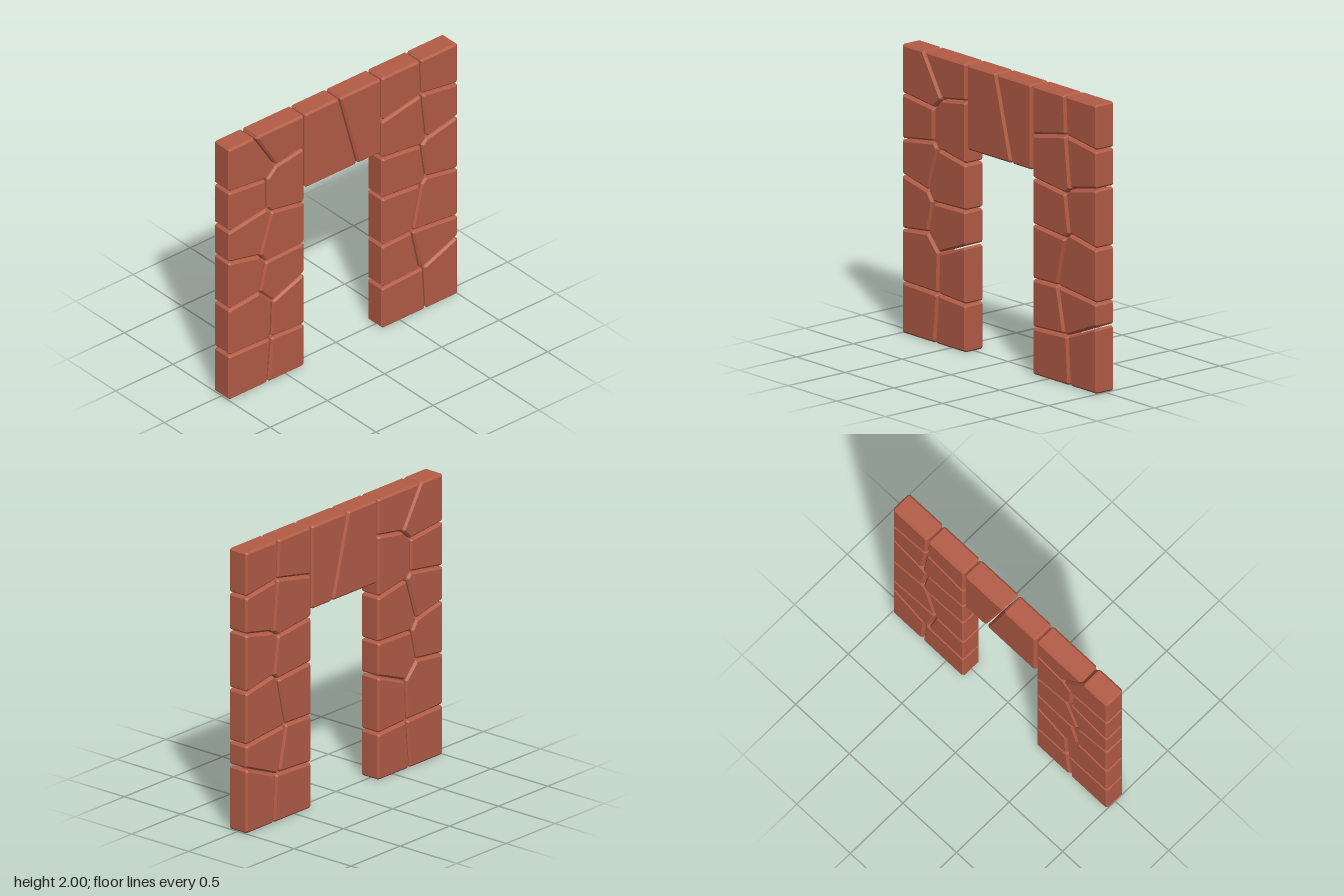
import * as THREE from 'three';

const GAP = 0.005, BEVEL = 0.014, DEPTH = 0.16;
const W = 1 + GAP, TOP = 2 + GAP, BASE = -GAP, JAMB = 0.334, LINTEL = 1.41 - GAP;

// Shrinks a clockwise outline by d so neighbouring stones leave a joint
function inset(pts, d) {
  const n = pts.length;
  return pts.map((p, i) => {
    const a = p.clone().sub(pts[(i + n - 1) % n]).normalize();
    const b = pts[(i + 1) % n].clone().sub(p).normalize();
    const na = new THREE.Vector2(a.y, -a.x), nb = new THREE.Vector2(b.y, -b.x);
    return p.clone().addScaledVector(na.clone().add(nb), d / (1 + na.dot(nb)));
  });
}

// Clips the sharper corners of an outline
function clipCorners(pts) {
  const n = pts.length;
  return pts.flatMap((p, i) => {
    const a = pts[(i + n - 1) % n].clone().sub(p).normalize();
    const b = pts[(i + 1) % n].clone().sub(p).normalize();
    const cos = a.dot(b);
    if (cos < -0.5) return [p];
    const c = 0.012 / (1 - cos);
    return [p.clone().addScaledVector(a, c), p.clone().addScaledVector(b, c)];
  });
}

function stoneGeometry(outline) {
  const pts = clipCorners(inset(outline.map(([x, y]) => new THREE.Vector2(x, y)), GAP));
  const geo = new THREE.ExtrudeGeometry(new THREE.Shape(pts), {
    depth: DEPTH - 2 * BEVEL, bevelEnabled: true, bevelSegments: 1,
    bevelSize: BEVEL, bevelThickness: BEVEL, bevelOffset: -BEVEL,
  });
  return geo.translate(0, 0, BEVEL - DEPTH / 2);
}

// Pillar on the -x side: joints on outer edge (o), inner edge (i) and middle nodes
function rightPillar() {
  const o = [1.66, 1.34, 1.10, 0.72, 0.355].map(y => [-W, y]);
  const i = [1.74, 1.30, 0.98, 0.74, 0.33].map(y => [-JAMB - 0.003, y]);
  const x = i[0][0], seam = [-0.78, TOP], foot = [-0.66, BASE];
  const A = [-0.59, 1.70], B = [-0.67, 1.625], C = [-0.67, 1.39], D = [-0.63, 1.35];
  const E = [-0.73, 1.04], F = [-0.68, 0.97], G = [-0.73, 0.75], H = [-0.62, 0.63], I = [-0.63, 0.345];
  return [
    [[-W, TOP], seam, A, B, o[0]],
    [seam, [x, TOP], i[0], A],
    [o[0], B, C, o[1]],
    [A, i[0], i[1], D, C, B],
    [o[1], C, D, E, o[2]],
    [D, i[1], i[2], F, E],
    [o[2], E, F, G, o[3]],
    [F, i[2], i[3], H, G],
    [o[3], G, H, I, o[4]],
    [H, i[3], i[4], I],
    [o[4], I, foot, [-W, BASE]],
    [I, i[4], [x, BASE], foot],
  ];
}

// Pillar on the +x side
function leftPillar() {
  const o = [1.68, 1.42, 1.00, 0.625, 0.465].map(y => [W, y]);
  const i = [1.655, 1.36, 1.04, 0.66, 0.325].map(y => [JAMB, y]);
  const seam = [0.675, TOP], foot = [0.72, BASE];
  const P = [0.685, 1.725], Q1 = [0.68, 1.32], Q2 = [0.725, 1.36];
  const R1 = [0.68, 1.01], R2 = [0.72, 1.05], S = [0.60, 0.667], T1 = [0.67, 0.34], T2 = [0.70, 0.34];
  return [
    [[JAMB, TOP], seam, P, i[0]],
    [seam, [W, TOP], o[0], P],
    [i[0], P, Q2, Q1, i[1]],
    [P, o[0], o[1], Q2],
    [i[1], Q1, R2, R1, i[2]],
    [Q2, o[1], o[2], R2, Q1],
    [i[2], R1, S, i[3]],
    [R1, R2, o[2], o[3], S],
    [i[3], S, T1, i[4]],
    [S, o[3], o[4], T2, T1],
    [i[4], T1, T2, foot, [JAMB, BASE]],
    [T2, o[4], [W, BASE], foot],
  ];
}

// Two stones bridging the opening
function lintel() {
  const a = [-0.035, TOP], b = [0.127, LINTEL];
  return [
    [[-JAMB - 0.003, TOP], a, b, [-JAMB - 0.003, LINTEL]],
    [a, [JAMB, TOP], [JAMB, LINTEL], b],
  ];
}

export function createModel() {
  const stone = new THREE.MeshStandardMaterial({ color: 0xb35c46 });
  stone.name = 'terracotta stone';
  const model = new THREE.Group();
  model.name = 'stoneDoorway';
  const parts = { rightPillar: rightPillar(), leftPillar: leftPillar(), lintel: lintel() };
  for (const [name, outlines] of Object.entries(parts)) {
    const group = new THREE.Group();
    group.name = name;
    outlines.forEach((outline, k) => {
      const mesh = new THREE.Mesh(stoneGeometry(outline), stone);
      mesh.name = `${name}Stone${k + 1}`;
      group.add(mesh);
    });
    model.add(group);
  }
  return model;
}
